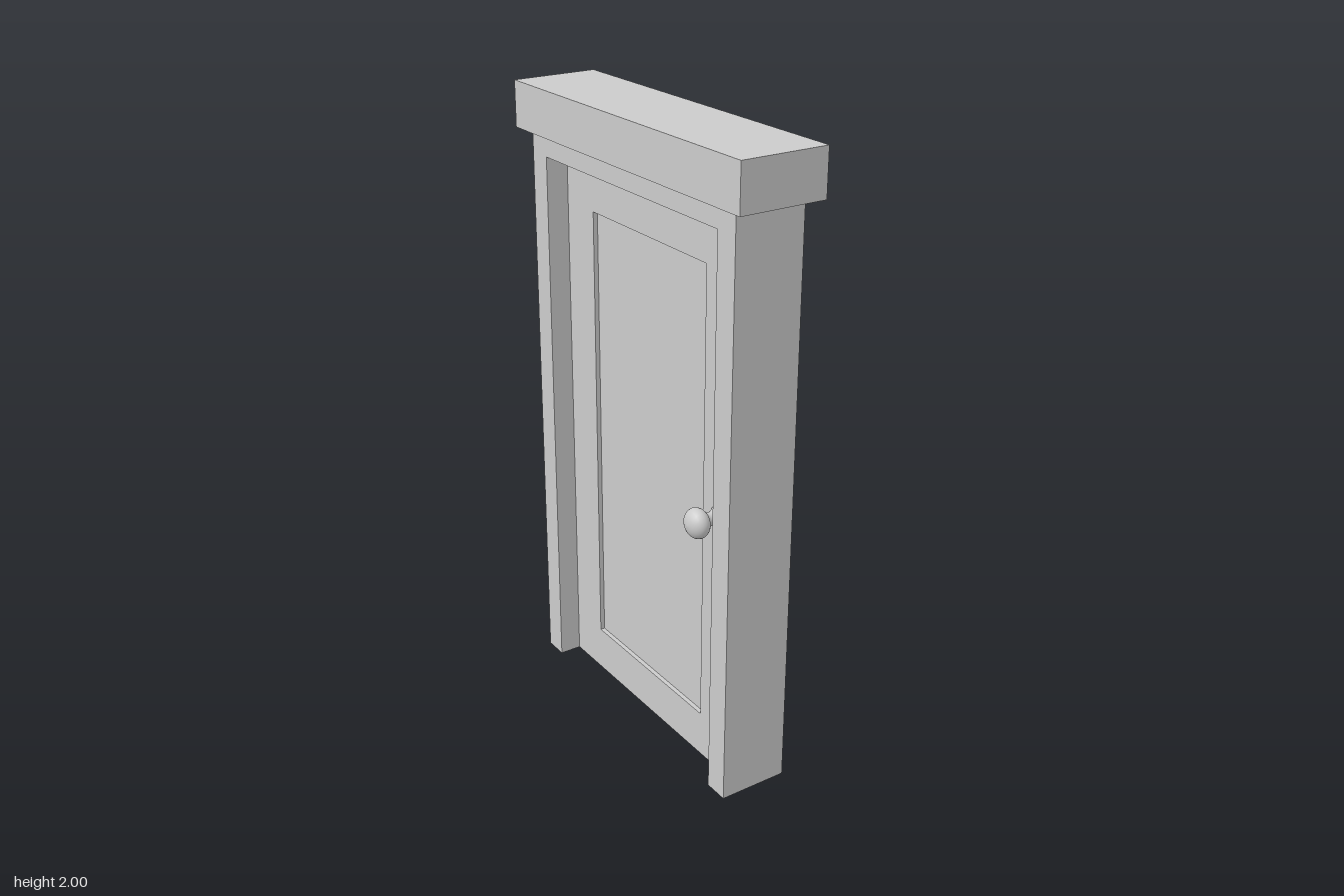
import * as THREE from 'three';

const material = new THREE.MeshStandardMaterial({ color: 0xcccccc });

function add(parent, name, geometry) {
  const mesh = new THREE.Mesh(geometry, material);
  mesh.name = name;
  parent.add(mesh);
  return mesh;
}

// Upright slab drawn in the z-y plane and centred on x = 0
function slab(points, thickness, hole) {
  const toVectors = (list) => list.map(([a, b]) => new THREE.Vector2(a, b));
  const shape = new THREE.Shape(toVectors(points));
  if (hole) shape.holes.push(new THREE.Path(toVectors(hole)));
  return new THREE.ExtrudeGeometry(shape, { depth: thickness, bevelEnabled: false })
    .translate(0, 0, -thickness / 2)
    .rotateY(Math.PI / 2);
}

const rect = (w, y0, y1) => [[-w, y0], [w, y0], [w, y1], [-w, y1]];

export function createModel() {
  const group = new THREE.Group();
  group.name = 'door';

  // Surround: two jambs joined by a head
  const W = 0.527, H = 1.855, w = 0.447, h = 1.785;
  add(group, 'doorFrame', slab(
    [[-W, 0], [-w, 0], [-w, h], [w, h], [w, 0], [W, 0], [W, H], [-W, H]], 0.226));

  // Overhanging lintel
  add(group, 'lintel', new THREE.BoxGeometry(0.282, 0.145, 1.16)).position.y = 1.9275;

  // Door leaf with a sunken panel on both faces
  const panel = rect(0.298, 0.15, 1.637);
  add(group, 'doorLeaf', slab(rect(w, 0, h), 0.08, panel));
  add(group, 'doorPanel', slab(panel, 0.05));

  // Turned knob: rose, neck and flattened ball
  const profile = [new THREE.Vector2(0.034, 0), new THREE.Vector2(0.034, 0.01),
    new THREE.Vector2(0.026, 0.02), new THREE.Vector2(0.02, 0.032), new THREE.Vector2(0.021, 0.045)];
  for (let i = 0; i <= 10; i++) {
    const a = -1.05 + (i / 10) * (Math.PI / 2 + 1.05);
    profile.push(new THREE.Vector2(Math.max(0, 0.047 * Math.cos(a)), 0.083 + 0.035 * Math.sin(a)));
  }
  const knob = new THREE.LatheGeometry(profile, 24);
  for (const side of [1, -1]) {
    const mesh = add(group, side > 0 ? 'leftKnob' : 'rightKnob', knob);
    mesh.rotation.z = -side * Math.PI / 2;
    mesh.position.set(side * 0.04, 0.893, 0.385);
  }
  return group;
}
